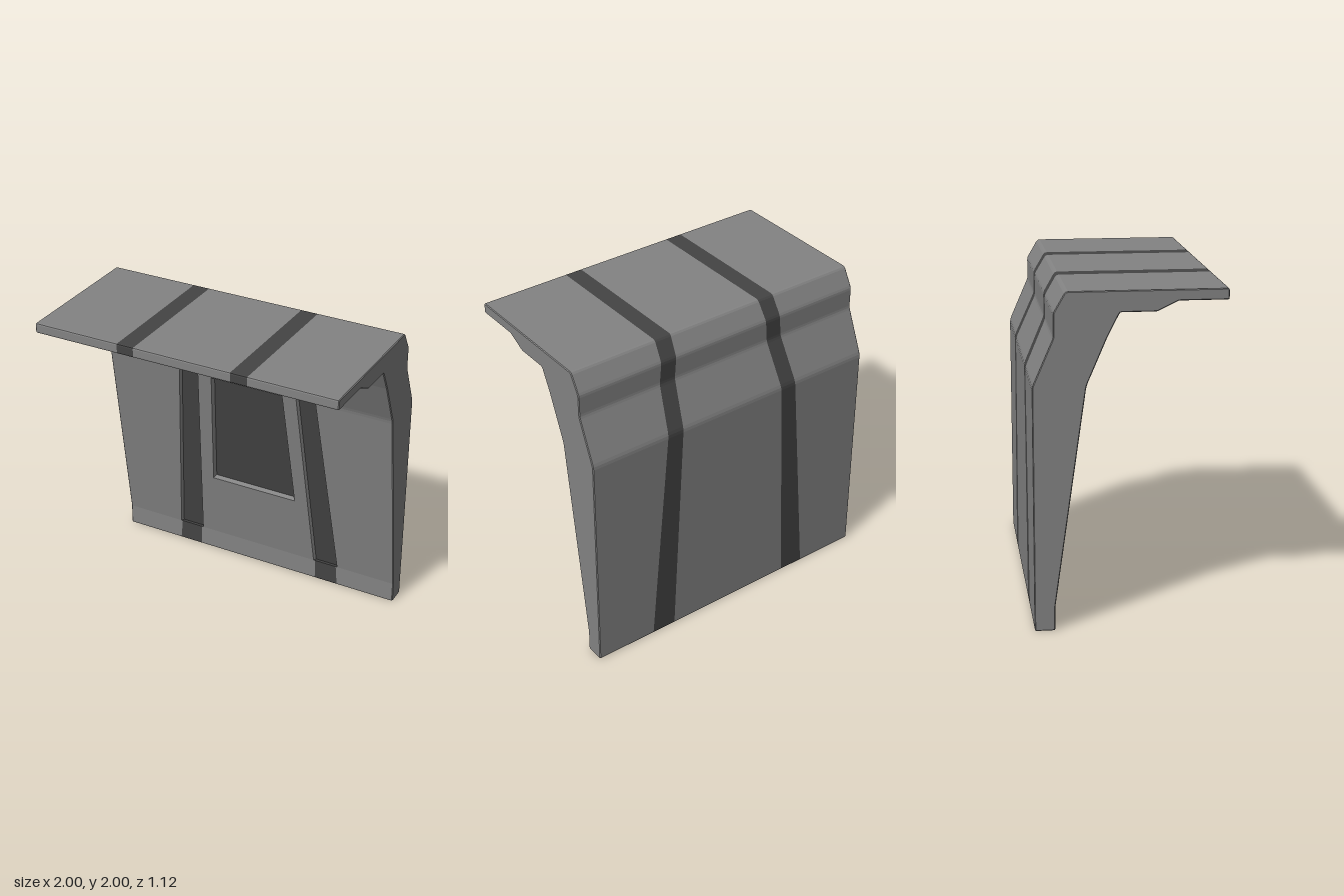
import * as THREE from 'three';

// Wall-and-canopy cross-section: z, y, inner and outer x of the dark band, corner radius
const CORNERS = [
  [-0.437, 0, 0.435, 0.597, 0.01], [-0.557, 0, 0.435, 0.597, 0.01],
  [-0.557, 1.46, 0.367, 0.475, 0.02], [-0.435, 1.74, 0.34, 0.447, 0.015],
  [-0.435, 1.88, 0.33, 0.435, 0.015], [-0.365, 2, 0.32, 0.43, 0.015],
  [0.559, 2, 0.32, 0.43, 0.01], [0.559, 1.936, 0.32, 0.43, 0.01],
  [0.27, 1.936, 0.32, 0.43, 0.01], [0.15, 1.877, 0.32, 0.43, 0.01],
  [-0.06, 1.877, 0.325, 0.435, 0.01], [-0.13, 1.74, 0.342, 0.448, 0],
  [-0.25, 1.46, 0.358, 0.472, 0.02], [-0.437, 0.14, 0.432, 0.585, 0],
];
const EDGE = 0.005;     // bevel of the side edges
const GROOVE = 0.02;    // depth of the band grooves
const BEVEL = 0.01;     // sloped border of the grooves
const GREY = 0x838383, DARK = 0x444444;
const mix = (a, b, t) => a.map((v, i) => v + (b[i] - v) * t);

// Round every corner that has a radius
function roundedProfile() {
  const n = CORNERS.length;
  return CORNERS.flatMap((p, k) => {
    const r = p[4];
    if (!r) return [p];
    const toward = (q) => mix(p, q, r / Math.hypot(q[0] - p[0], q[1] - p[1]));
    const a = toward(CORNERS[(k + n - 1) % n]), c = toward(CORNERS[(k + 1) % n]);
    return [a, mix(mix(a, c, 0.5), p, 0.5), c].map((q) => [...q.slice(0, 4), 1]);
  });
}

// Shrink the section slightly for the bevelled ends
function insetProfile(prof) {
  const n = prof.length;
  return prof.map((p, k) => {
    const dir = (a, b) => new THREE.Vector2(b[0] - a[0], b[1] - a[1]).normalize();
    const d1 = dir(prof[(k + n - 1) % n], p), d2 = dir(p, prof[(k + 1) % n]);
    const m = new THREE.Vector2(d1.y + d2.y, -d1.x - d2.x).normalize();
    const s = EDGE / (m.x * d1.y - m.y * d1.x);
    return [p[0] + m.x * s, p[1] + m.y * s];
  });
}

function makeMesh(name, positions, color) {
  const geo = new THREE.BufferGeometry();
  geo.setAttribute('position', new THREE.Float32BufferAttribute(positions, 3));
  geo.computeVertexNormals();
  const mesh = new THREE.Mesh(geo, new THREE.MeshStandardMaterial({ color }));
  mesh.name = name;
  return mesh;
}

export function createModel() {
  const group = new THREE.Group();
  const prof = roundedProfile(), inset = insetProfile(prof), n = prof.length;
  const grooveTop = prof.findIndex((p) => p[4] === 0);
  const grooveEnd = n - 1;                 // lower end of the groove
  const wall = [], window = [];

  for (const s of [1, -1]) {
    const band = [];
    // Add a four-cornered face, mirrored for the right half
    const quad = (list, a, b, c, d) => {
      const order = s > 0 ? [a, b, c, a, c, d] : [a, c, b, a, d, c];
      for (const v of order) list.push(v[0] * s, v[1], v[2]);
    };
    const at = (x, p, depth = 0) => [x, p[1], p[0] - depth];
    // Strip of surface between two sections
    const strip = (list, p, q, xa, xb, ya, yb, da = 0, db = 0) =>
      quad(list, at(xa, p, da), at(ya, q, da), at(yb, q, db), at(xb, p, db));

    for (let k = 0; k < n; k++) {
      const p = prof[k], q = prof[(k + 1) % n];
      const grooved = k >= grooveTop && k < grooveEnd;
      const b = grooved ? BEVEL : 0, g = grooved ? GROOVE : 0;
      const [pi, po, qi, qo] = [p[2], p[3], q[2], q[3]];

      // Dark band with its sloped groove sides
      strip(band, p, q, pi, po, qi, qo, g, g);
      if (grooved) {
        strip(wall, p, q, pi - b, pi, qi - b, qi, 0, g);
        strip(wall, p, q, po, po + b, qo, qo + b, g, 0);
      }

      // Outer field and bevelled side edge
      strip(wall, p, q, po + b, 1 - EDGE, qo + b, 1 - EDGE);
      const ip = inset[k], iq = inset[(k + 1) % n];
      quad(wall, at(1 - EDGE, p), at(1 - EDGE, q), at(1, iq), at(1, ip));

      // Centre field; the tall front face leaves an opening for the window
      if (k !== grooveEnd - 1) {
        strip(wall, p, q, 0, pi - b, 0, qi - b);
        continue;
      }
      const onFace = (y) => mix(p, q, (y - p[1]) / (q[1] - p[1]));
      const hiOut = onFace(1.435), loOut = onFace(0.61);
      const hi = onFace(1.423), lo = onFace(0.627);
      const wHi = 0.252, wLo = 0.302, fHi = 0.241, fLo = 0.29, depth = 0.025;
      const hiEdge = hiOut[2] - b, loEdge = loOut[2] - b;
      strip(wall, p, hiOut, 0, pi - b, 0, hiEdge);
      strip(wall, hiOut, loOut, wHi, hiEdge, wLo, loEdge);
      strip(wall, loOut, q, 0, loEdge, 0, qi - b);
      // Sloped window border and dark pane
      quad(wall, at(0, hiOut), at(0, hi, depth), at(fHi, hi, depth), at(wHi, hiOut));
      quad(wall, at(0, lo, depth), at(0, loOut), at(wLo, loOut), at(fLo, lo, depth));
      quad(wall, at(fHi, hi, depth), at(fLo, lo, depth), at(wLo, loOut), at(wHi, hiOut));
      strip(window, hi, lo, 0, fHi, 0, fLo, depth, depth);
    }

    // Steps closing both ends of the groove
    const t = prof[grooveTop], e = prof[grooveEnd];
    quad(band, at(t[2] - BEVEL, t), at(t[2], t, GROOVE), at(t[3], t, GROOVE), at(t[3] + BEVEL, t));
    quad(band, at(e[2], e, GROOVE), at(e[2] - BEVEL, e), at(e[3] + BEVEL, e), at(e[3], e, GROOVE));

    // Side cap
    const outline = inset.map(([z, y]) => new THREE.Vector2(z, y));
    for (const tri of THREE.ShapeUtils.triangulateShape(outline, [])) {
      let [a, b, c] = tri.map((i) => outline[i]);
      const ccw = (b.x - a.x) * (c.y - a.y) - (b.y - a.y) * (c.x - a.x) > 0;
      if (ccw === s > 0) [b, c] = [c, b];   // z-y order faces -x when counter-clockwise
      for (const v of [a, b, c]) wall.push(s, v.y, v.x);
    }
    group.add(makeMesh(s > 0 ? 'leftBand' : 'rightBand', band, DARK));
  }

  group.add(makeMesh('wallAndCanopy', wall, GREY));
  group.add(makeMesh('windowPanel', window, DARK));
  return group;
}
